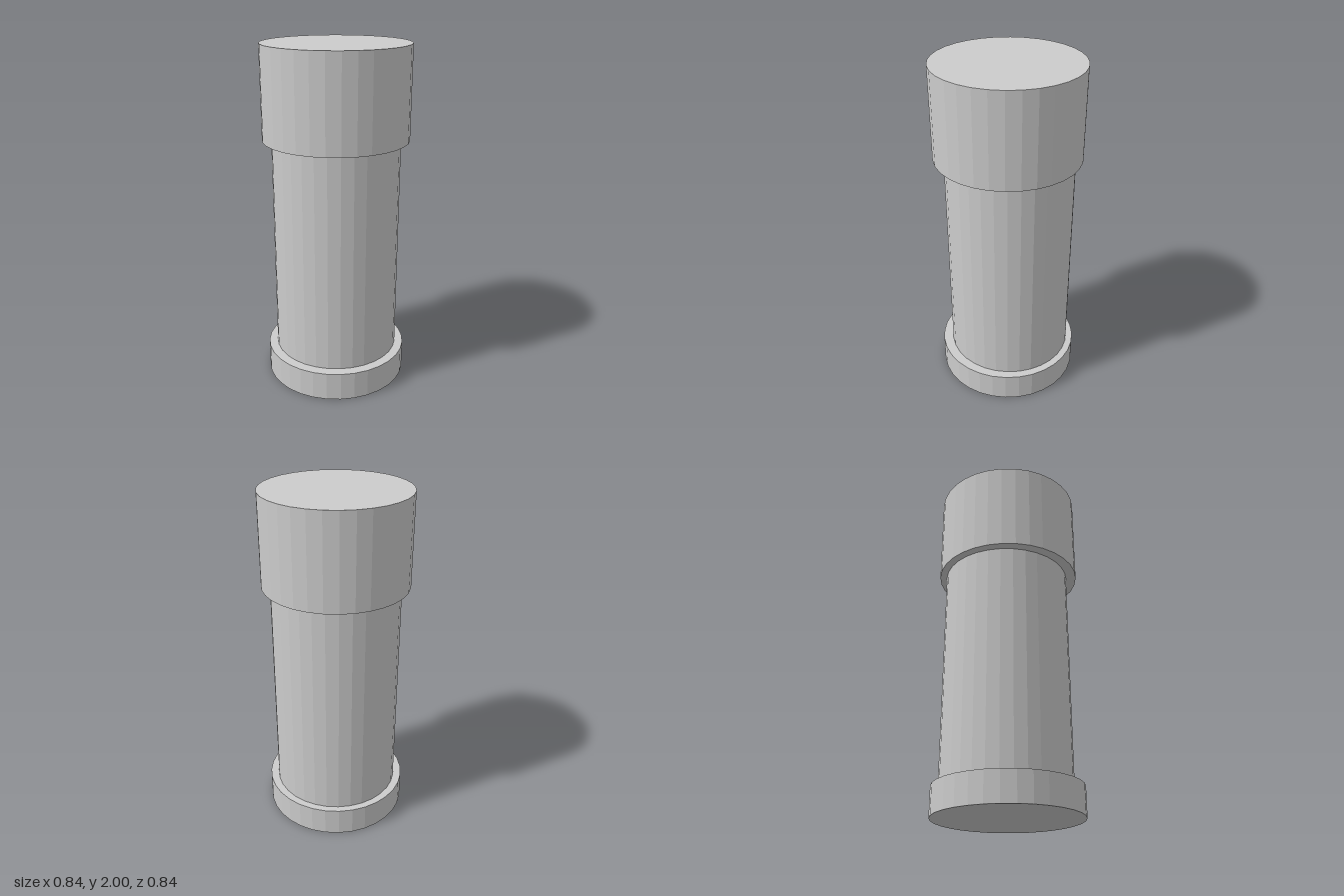
import * as THREE from 'three';

const SIDES = 32;

export function createModel() {
  const group = new THREE.Group();
  const material = new THREE.MeshStandardMaterial({ color: 0xcccccc, flatShading: true });

  // Upright faceted drum spanning bottom..top
  const addDrum = (name, radius, bottom, top, z = 0) => {
    const height = top - bottom;
    const mesh = new THREE.Mesh(new THREE.CylinderGeometry(radius, radius, height, SIDES), material);
    mesh.name = name;
    mesh.position.set(0, bottom + height / 2, z);
    group.add(mesh);
  };

  addDrum('base', 0.42, 0, 0.17);
  // The shaft sits slightly behind the centre line
  addDrum('shaft', 0.37, 0.17, 1.465, -0.01);
  addDrum('cap', 0.42, 1.465, 2);

  return group;
}
